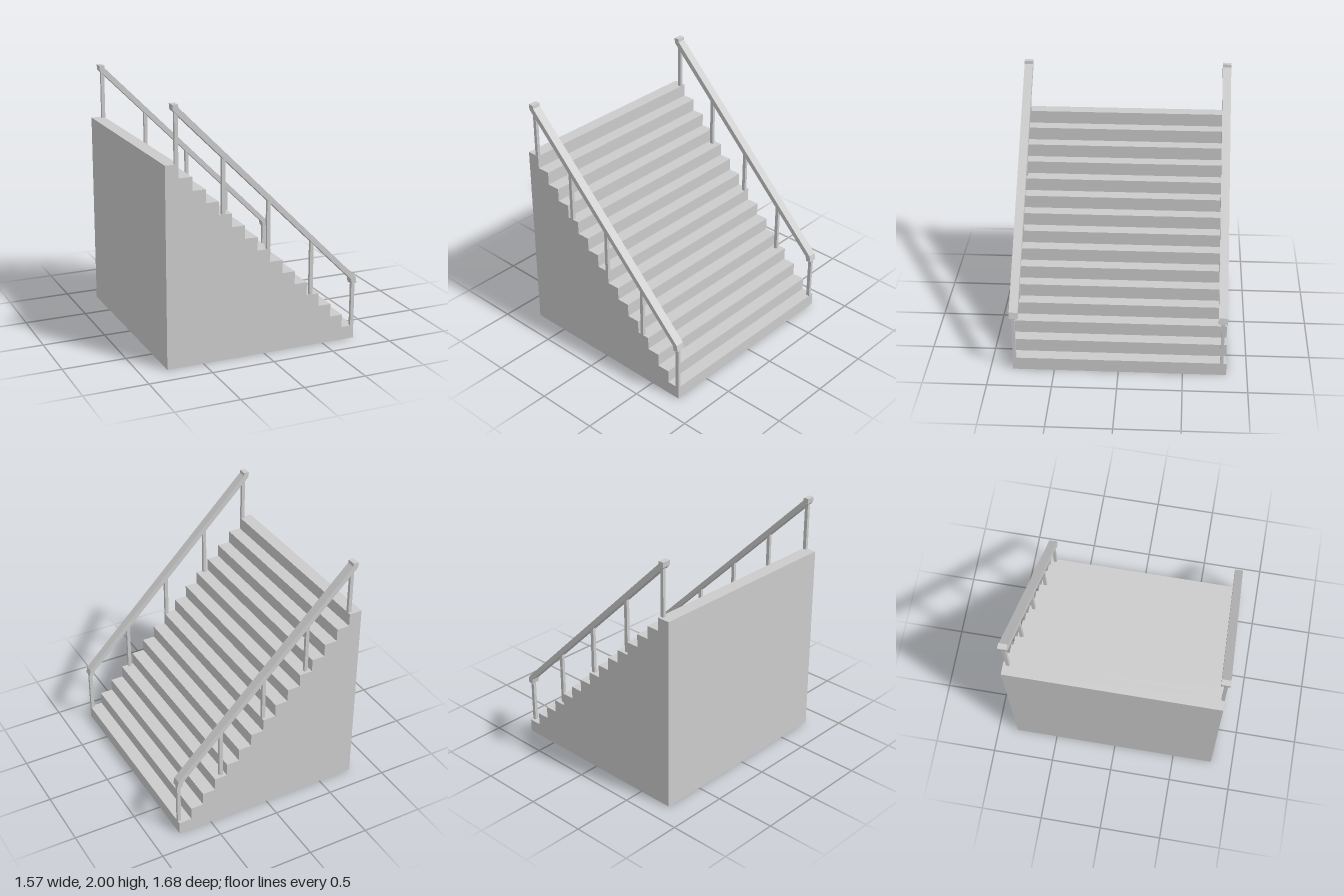
import * as THREE from 'three';

const STEPS = 15, RUN = 0.1042, RISE = 0.1042;
const BACK_X = -0.789, FRONT_X = BACK_X + STEPS * RUN;

// Extrude an outline drawn in the xy plane between two depths
function slab(name, points, z0, z1, material) {
  const shape = new THREE.Shape(points.map(([x, y]) => new THREE.Vector2(x, y)));
  const geometry = new THREE.ExtrudeGeometry(shape, { depth: z1 - z0, bevelEnabled: false });
  geometry.translate(0, 0, z0);
  const mesh = new THREE.Mesh(geometry, material);
  mesh.name = name;
  return mesh;
}

export function createModel() {
  const model = new THREE.Group();
  model.name = 'staircase';
  const material = new THREE.MeshStandardMaterial({ color: 0xcccccc, flatShading: true });

  // Solid flight of steps, climbing towards -x
  const outline = [[BACK_X, 0], [FRONT_X, 0]];
  for (let i = 0; i < STEPS; i++) {
    const y = (i + 1) * RISE;
    outline.push([FRONT_X - i * RUN, y], [FRONT_X - (i + 1) * RUN, y]);
  }
  model.add(slab('steps', outline, -0.839, 0.823, material));

  // Sloping handrail with a level top end and a turned-down lower end
  const railOutline = [
    [-0.734, 2], [-0.73, 1.957], [0.732, 0.498], [0.74, 0.456],
    [0.782, 0.463], [0.771, 0.514], [-0.688, 1.976], [-0.691, 2],
  ];

  const sides = [
    { name: 'left', rail: [0.771, 0.839], post: 0.81 },
    { name: 'right', rail: [-0.835, -0.767], post: -0.802 },
  ];
  for (const side of sides) {
    const railing = new THREE.Group();
    railing.name = side.name + 'Railing';
    railing.add(slab('handrail', railOutline, ...side.rail, material));

    // Five slim posts, each from its tread up into the handrail
    for (let i = 0; i < 5; i++) {
      const x = 0.76 - i * 0.365;
      const step = Math.min(STEPS - 1, Math.floor((FRONT_X - x + 0.014) / RUN) + 1);
      const bottom = step * RISE;
      const top = 1.25 - x;
      const post = new THREE.Mesh(new THREE.BoxGeometry(0.028, top - bottom, 0.025), material);
      post.position.set(x, (top + bottom) / 2, side.post);
      post.name = 'post';
      railing.add(post);
    }
    model.add(railing);
  }
  return model;
}
